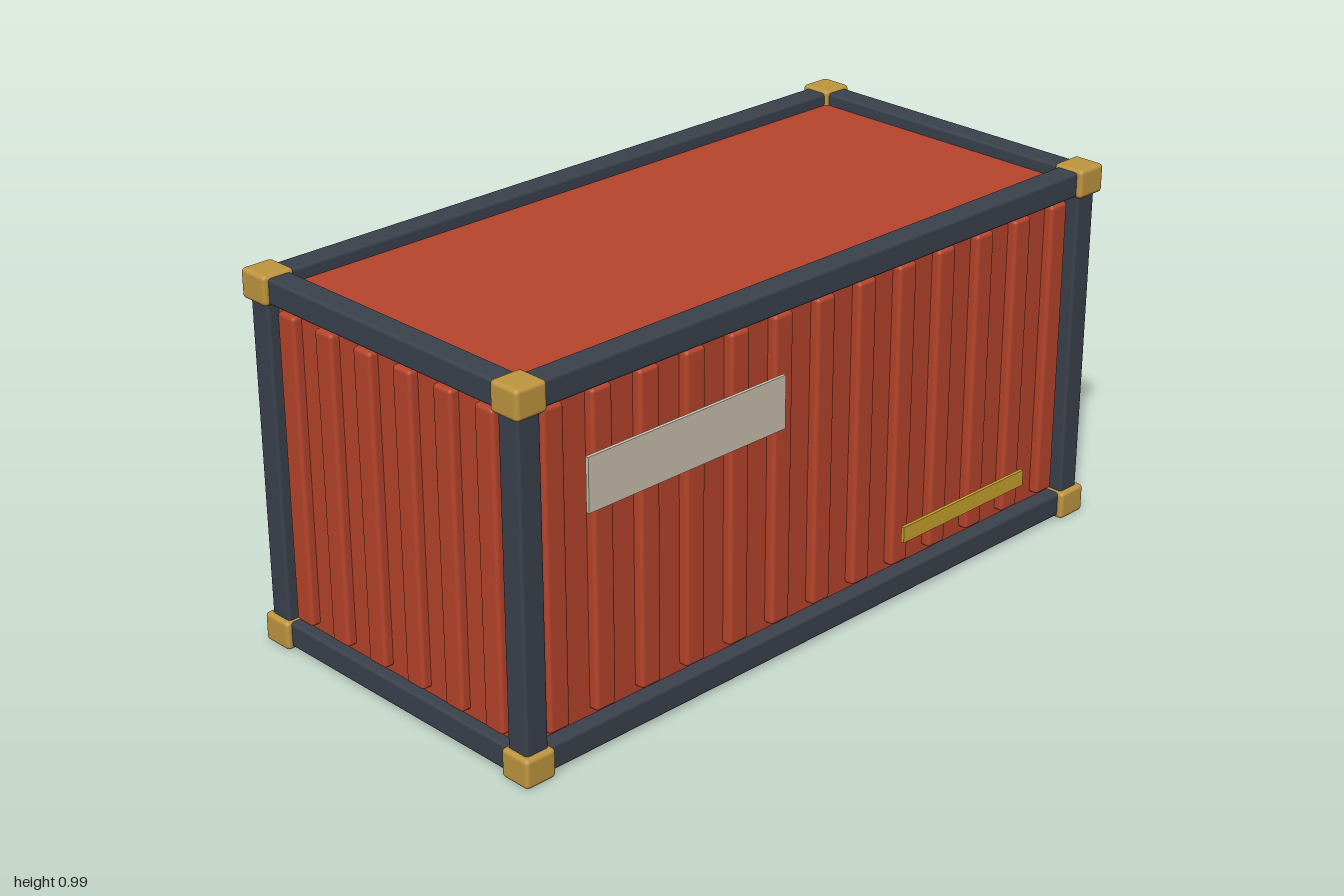
import * as THREE from 'three';
import { RoundedBoxGeometry } from 'three/addons/geometries/RoundedBoxGeometry.js';

const mat = (name, color) => {
  const m = new THREE.MeshStandardMaterial({ color });
  m.name = name;
  return m;
};

export function createModel() {
  const red = mat('red paint', 0xb8452c);
  const steel = mat('dark steel', 0x3b424d);
  const brass = mat('brass', 0xbf963f);
  const cream = mat('cream', 0xcbc1ae);
  const yellow = mat('yellow', 0xc9a12c);

  const model = new THREE.Group();
  model.name = 'shippingContainer';

  const add = (name, geometry, material, x, y, z) => {
    const mesh = new THREE.Mesh(geometry, material);
    mesh.name = name;
    mesh.position.set(x, y, z);
    model.add(mesh);
    return mesh;
  };
  const rounded = (w, h, d, r) => new RoundedBoxGeometry(w, h, d, 2, r);

  const cx = -0.005, cy = 0.495;      // centre of the container
  const fx = 0.948, fy = 0.454, fz = 0.438; // frame centre lines
  const t = 0.066;                    // frame thickness

  // Body with recessed roof, floor and walls
  add('body', new THREE.BoxGeometry(1.9, 0.908, 0.86), red, cx, cy, 0);

  // Corrugation ribs on the long walls
  const sideRib = rounded(0.062, 0.815, 0.05, 0.01);
  for (const s of [-1, 1])
    for (let i = 0; i < 13; i++)
      add('sideRib', sideRib, red, cx + (i - 6) * 0.144, 0.497, s * 0.43);

  // Corrugation ribs on the closed end
  const endRib = rounded(0.05, 0.815, 0.062, 0.01);
  for (let i = 0; i < 6; i++)
    add('endRib', endRib, red, cx - 0.95, 0.497, (i - 2.5) * 0.14);

  // Frame rails, posts and corner castings
  const longRail = rounded(1.9, t, t, 0.008);
  const crossRail = rounded(t, t, 0.88, 0.008);
  const post = rounded(t, 0.91, t, 0.008);
  const corner = rounded(0.09, 0.077, 0.09, 0.011);
  for (const a of [-1, 1])
    for (const b of [-1, 1]) {
      add('longRail', longRail, steel, cx, cy + a * fy, b * fz);
      add('crossRail', crossRail, steel, cx + a * fx, cy + b * fy, 0);
      add('cornerPost', post, steel, cx + a * fx, cy, b * fz);
      for (const c of [-1, 1])
        add('cornerCasting', corner, brass, cx + a * 0.95, cy + b * 0.4565, c * 0.441);
    }

  // Doors
  const door = rounded(0.03, 0.824, 0.393, 0.01);
  for (const s of [-1, 1]) add('door', door, red, 0.95, 0.496, s * 0.208);

  // Locking rods with handles
  const rod = new THREE.CylinderGeometry(0.011, 0.011, 0.806, 12);
  const handle = rounded(0.026, 0.031, 0.057, 0.006);
  for (const z of [-0.322, -0.098, 0.1, 0.322]) {
    add('lockingRod', rod, brass, 0.979, 0.495, z);
    add('lockHandle', handle, steel, 0.987, 0.398, z + 0.023);
  }

  // Blank sign plates and marker strips on both long walls
  const plate = new THREE.BoxGeometry(0.624, 0.138, 0.009);
  const strip = new THREE.BoxGeometry(0.466, 0.044, 0.009);
  for (const s of [-1, 1]) {
    add('signPlate', plate, cream, -0.479, 0.693, s * 0.473);
    add('markerStrip', strip, yellow, 0.503, 0.182, s * 0.474);
  }

  return model;
}
